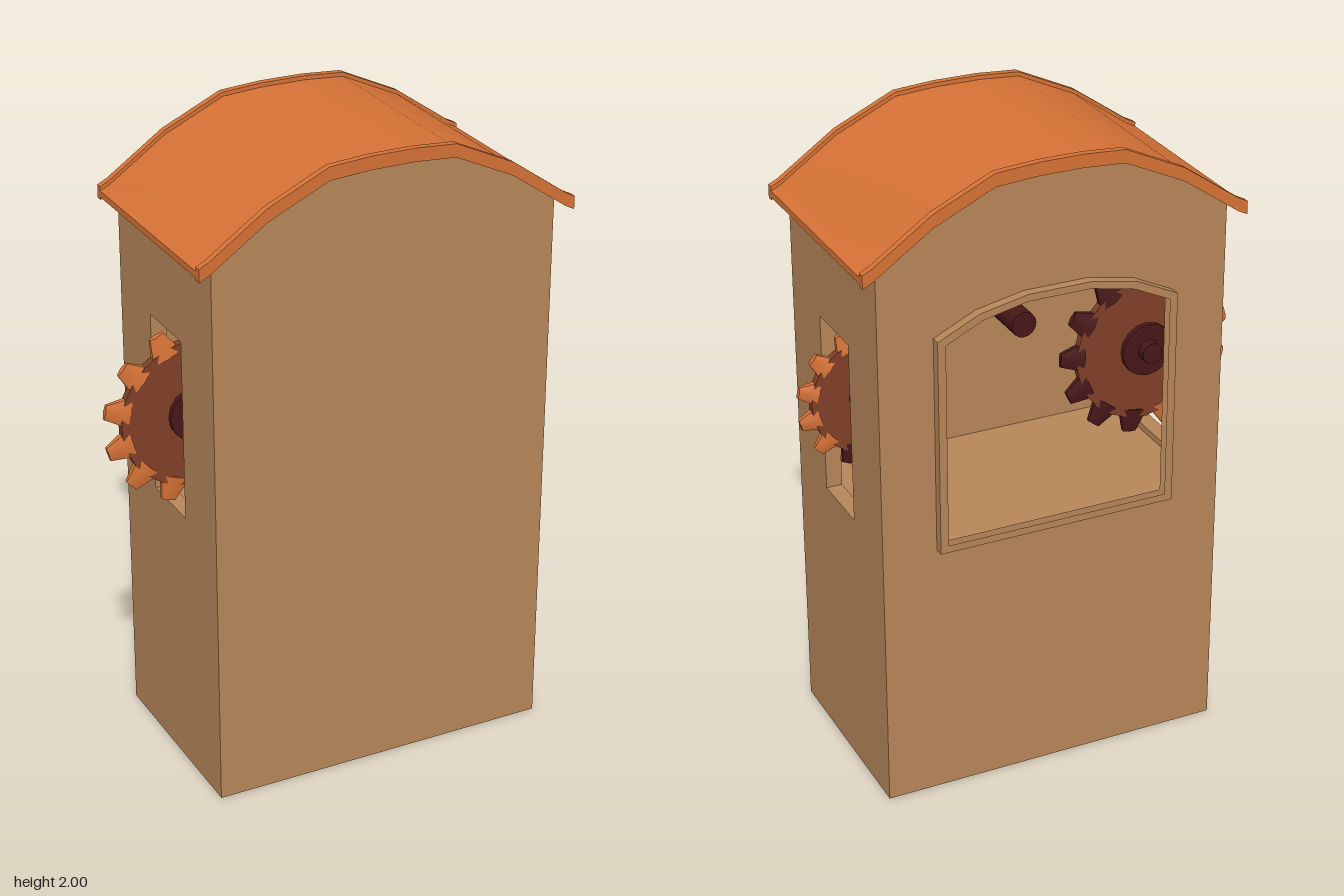
import * as THREE from 'three';
import { toCreasedNormals } from 'three/addons/utils/BufferGeometryUtils.js';

const material = (name, color) => new THREE.MeshStandardMaterial({ name, color });

export function createModel() {
  const tan = material('tan wood', 0xb68658);
  const orange = material('orange paint', 0xd67236);
  const rust = material('rust brown', 0x803f28);
  const maroon = material('dark maroon', 0x481719);

  const model = new THREE.Group();
  model.name = 'gearHouse';

  const CX = 0.05, HALF_W = 0.55, HALF_D = 0.325, WALL = 0.05, FLOOR = 0.84;

  const add = (name, geometry, mat, parent = model) => {
    const mesh = new THREE.Mesh(geometry, mat);
    mesh.name = name;
    parent.add(mesh);
    return mesh;
  };
  const shapeOf = (pts) => new THREE.Shape(pts.map(([x, y]) => new THREE.Vector2(x, y)));
  const plate = (shape, z0, z1) => {
    const g = new THREE.ExtrudeGeometry(shape, { depth: z1 - z0, bevelEnabled: false });
    g.translate(0, 0, z0);
    return toCreasedNormals(g, 0.6);
  };
  // Mirrors half an arch (offsets from the centre line, outermost first)
  const arch = (half) => [
    ...half.map(([dx, y]) => [CX - dx, y]),
    ...half.slice().reverse().map(([dx, y]) => [CX + dx, y]),
  ];

  // Roof: arched band with a slightly raised rim at the front and back
  const roofTop = arch([[0.6, 1.76], [0.57, 1.775], [0.39, 1.9], [0.2, 1.988], [0.07, 1.997]]);
  const band = (up, down) => shapeOf([
    ...roofTop.map(([x, y]) => [x, y + up]),
    ...roofTop.slice().reverse().map(([x, y]) => [x, y - down]),
  ]);
  add('roof', plate(band(-0.01, 0.03), -0.335, 0.335), orange);
  add('roofRimFront', plate(band(0.003, 0.038), 0.335, 0.357), orange);
  add('roofRimBack', plate(band(0.003, 0.038), -0.357, -0.335), orange);

  // Solid lower body
  const base = add('lowerBody', new THREE.BoxGeometry(HALF_W * 2, FLOOR, HALF_D * 2), tan);
  base.position.set(CX, FLOOR / 2, 0);

  // Arched front and back walls of the gear chamber
  const wall = () => shapeOf([
    ...arch([[HALF_W, FLOOR], [HALF_W, 1.77], [0.39, 1.88], [0.2, 1.968], [0.07, 1.976]]),
  ]);
  add('frontWall', plate(wall(), HALF_D - WALL, HALF_D), tan);

  const opening = arch([[0.355, 0.855], [0.355, 1.5], [0.24, 1.555], [0.1, 1.585]]);
  const openingPath = () => new THREE.Path(opening.map(([x, y]) => new THREE.Vector2(x, y)));
  const backWall = wall();
  backWall.holes.push(openingPath());
  add('backWall', plate(backWall, -HALF_D, -HALF_D + WALL), tan);

  // Raised frame around the back window
  const frame = shapeOf(arch([[0.38, 0.832], [0.38, 1.515], [0.25, 1.577], [0.1, 1.607]]));
  frame.holes.push(openingPath());
  add('windowFrame', plate(frame, -0.355, -HALF_D), tan);

  // Side walls, each with a slot for a gear
  const inner = HALF_D - WALL;
  for (const [name, x] of [['rightWall', CX - HALF_W], ['leftWall', CX + HALF_W - WALL]]) {
    const side = shapeOf([[-inner, FLOOR], [inner, FLOOR], [inner, 1.755], [-inner, 1.755]]);
    side.holes.push(new THREE.Path([[-0.108, 0.862], [-0.108, 1.435], [0.108, 1.435], [0.108, 0.862]]
      .map(([z, y]) => new THREE.Vector2(z, y))));
    const g = plate(side, 0, WALL);
    g.rotateY(Math.PI / 2);
    g.translate(x, 0, 0);
    add(name, g, tan);
  }

  // Cylinder lying along z
  const rod = (name, r, z0, z1, mat, parent, sides = 16) => {
    const g = new THREE.CylinderGeometry(r, r, z1 - z0, sides);
    g.rotateX(Math.PI / 2);
    g.translate(0, 0, (z0 + z1) / 2);
    return add(name, g, mat, parent);
  };

  // Upper cross axle
  rod('crossAxle', 0.04, -0.12, 0.29, maroon, model).position.set(CX, 1.39, 0);

  // Gears: disc, hub, axle and tapered teeth; teeth kept indoors are dark
  const TEETH = 13;
  const addGear = (name, x, y, r, turn) => {
    const gear = new THREE.Group();
    gear.name = name;
    gear.position.set(x, y, 0.018);
    model.add(gear);
    rod('disc', r * 0.82, -0.013, 0.013, rust, gear, 26);
    rod('hub', r * 0.3, -0.03, 0.03, maroon, gear);
    rod('axle', r * 0.12, -0.06, 0.27, maroon, gear, 10);
    for (let i = 0; i < TEETH; i++) {
      const a = turn + (i / TEETH) * Math.PI * 2;
      const outside = Math.abs(x + Math.cos(a) * r - CX) > HALF_W - 0.03;
      const g = new THREE.CylinderGeometry(r * 0.09, r * 0.19, r * 0.27, 6);
      g.scale(1, 1, 0.021 / (r * 0.19));
      g.translate(0, r * 0.865, 0);
      g.rotateZ(a - Math.PI / 2);
      add('tooth', toCreasedNormals(g, 0.6), outside ? orange : maroon, gear);
    }
  };
  addGear('largeGear', -0.425, 1.16, 0.287, Math.PI - 0.2);
  addGear('smallGear', 0.49, 1.2, 0.226, 0.22);

  return model;
}
